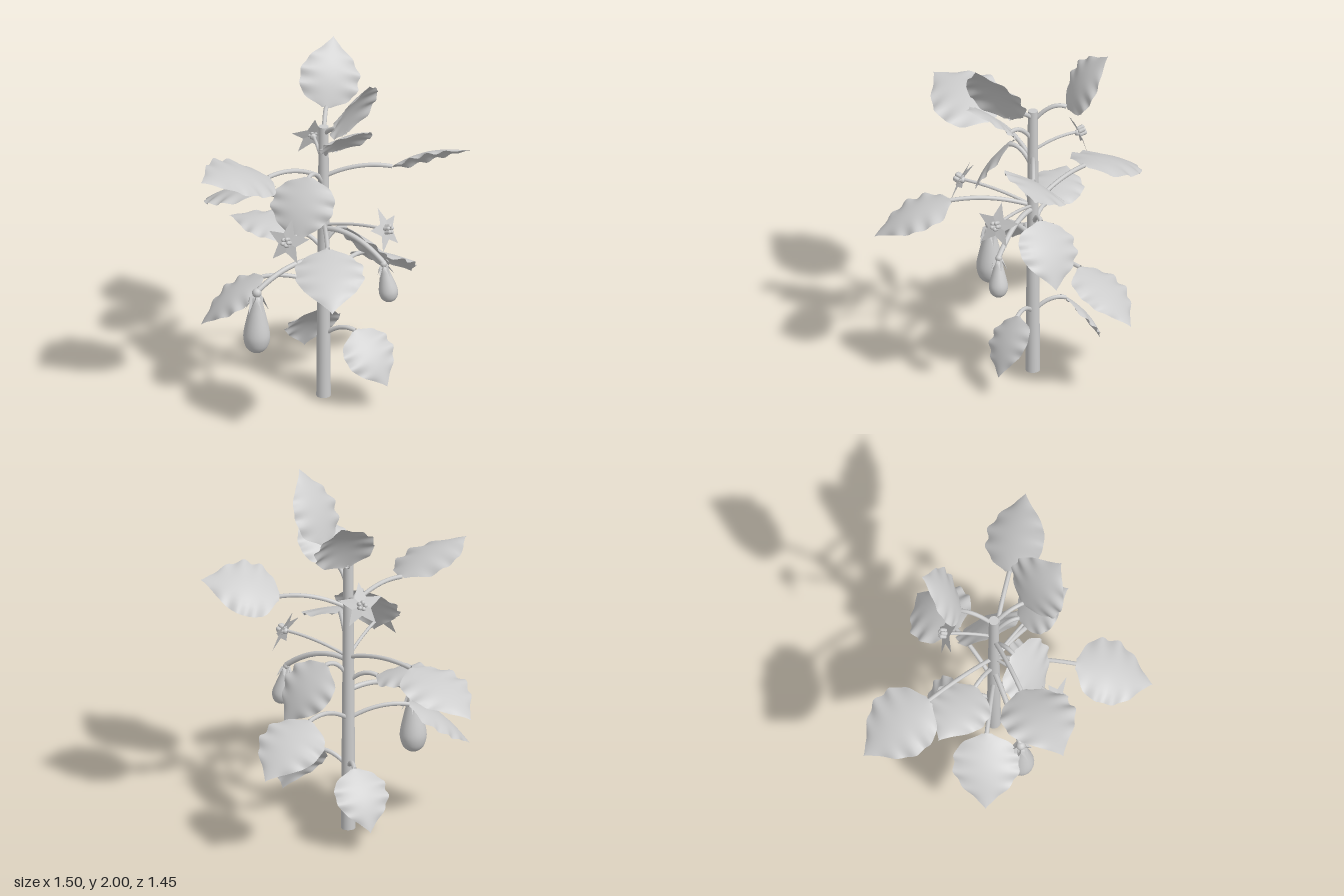
import * as THREE from 'three';

const V = (x, y, z) => new THREE.Vector3(x, y, z);
const STEM_X = -0.06, STEM_Z = -0.148;

// Relative half width of a leaf at even steps from base to tip
const LEAF_OUTLINE = new THREE.SplineCurve(
  [0.15, 0.74, 0.93, 1, 0.97, 0.84, 0.58, 0.26, 0].map((w, i) => new THREE.Vector2(i / 8, w)));

export function createModel() {
  const plant = new THREE.Group();
  plant.name = 'fruitingPlant';
  const grey = new THREE.MeshStandardMaterial({ color: 0xcccccc, side: THREE.DoubleSide });
  grey.name = 'plain grey';

  const add = (parent, name, geometry) => {
    const mesh = new THREE.Mesh(geometry, grey);
    mesh.name = name;
    parent.add(mesh);
    return mesh;
  };
  const group = (name) => {
    const g = new THREE.Group();
    g.name = name;
    plant.add(g);
    return g;
  };

  // Arched stalk from the stem at height y to a point
  const stalk = (parent, name, y, end, radius, lift = 0.03) => {
    const start = V(STEM_X, y, STEM_Z);
    const mid = start.clone().lerp(end, 0.5);
    mid.y = Math.max(y, end.y) + lift;
    const curve = new THREE.QuadraticBezierCurve3(start, mid, end);
    add(parent, name, new THREE.TubeGeometry(curve, 12, radius, 8));
  };

  // Leaf blade: scalloped outline, arched along its length, rippled near the edge
  const leafBlade = (length, width) => {
    const geo = new THREE.PlaneGeometry(2, 1, 12, 40);
    const p = geo.attributes.position;
    for (let i = 0; i < p.count; i++) {
      const v = p.getX(i), u = p.getY(i) + 0.5;
      const outline = LEAF_OUTLINE.getPoint(u).y;
      const ripple = Math.sin(u * Math.PI * 9);
      const edge = Math.abs(v * v * v) * outline;
      const half = 0.42 * width * outline * (1 + 0.04 * ripple * v * v);
      const y = 0.09 * Math.sin(Math.PI * u) - 0.07 * v * v * outline + 0.02 * ripple * edge;
      p.setXYZ(i, v * half * length, y * length, u * length);
    }
    geo.computeVertexNormals();
    return geo;
  };

  const addLeaf = (y, base, tip, roll = 0, width = 1) => {
    const g = group('leaf');
    const b = V(...base), t = V(...tip);
    stalk(g, 'leafStalk', y, b, 0.0125);
    const d = t.clone().sub(b), length = d.length();
    d.normalize();
    const n = V(0, 1, 0).addScaledVector(d, -d.y).normalize().applyAxisAngle(d, roll);
    const side = n.clone().cross(d);
    const blade = add(g, 'leafBlade', leafBlade(length, width));
    blade.quaternion.setFromRotationMatrix(new THREE.Matrix4().makeBasis(side, n, d));
    blade.position.copy(b);
  };

  // Five-pointed star facing +z whose notches and points are pushed back
  const star = (outer, inner, backInner, backOuter) => {
    const geo = new THREE.CircleGeometry(1, 10, Math.PI / 2);
    const p = geo.attributes.position;
    for (let i = 1; i < p.count; i++) {
      const point = i % 2 === 1;
      const r = point ? outer : inner;
      p.setXYZ(i, p.getX(i) * r, p.getY(i) * r, point ? -backOuter : -backInner);
    }
    const flat = geo.toNonIndexed();
    flat.computeVertexNormals();
    return flat;
  };

  const addFlower = (y, x, fy, z) => {
    const g = group('flower');
    const end = V(x, fy, z);
    stalk(g, 'flowerStalk', y, end, 0.009, 0);
    const head = new THREE.Group();
    head.name = 'flowerHead';
    head.position.copy(end);
    const out = V(x - STEM_X, 0, z - STEM_Z).normalize();
    out.y = 0.38;
    head.lookAt(end.clone().add(out));
    g.add(head);
    add(head, 'petals', star(0.13, 0.056, 0.004, 0.012));
    add(head, 'calyx', new THREE.SphereGeometry(0.018, 10, 8)).position.z = -0.012;
    // Ring of stamens
    for (let i = 0; i < 5; i++) {
      const a = i * Math.PI * 0.4;
      const s = add(head, 'stamen', new THREE.CapsuleGeometry(0.012, 0.022, 3, 8));
      s.rotation.x = Math.PI / 2;
      s.position.set(Math.cos(a) * 0.018, Math.sin(a) * 0.018, 0.014);
    }
  };

  // Hanging pear-shaped fruit with a pointed calyx
  const addFruit = (y, x, top, z, length, radius, tilt) => {
    const g = group('fruit');
    stalk(g, 'fruitStalk', y, V(x, top + 0.015, z), 0.015, 0.05);
    const body = new THREE.Group();
    body.name = 'fruitBody';
    body.position.set(x, top, z);
    body.rotation.z = tilt;
    g.add(body);
    const profile = [[0, -1], [0.4, -0.98], [0.8, -0.9], [1, -0.76], [0.97, -0.62],
      [0.77, -0.42], [0.55, -0.22], [0.38, -0.06], [0, 0]];
    const smooth = new THREE.SplineCurve(profile.map(([r, h]) =>
      new THREE.Vector2(r * radius, h * length))).getPoints(24);
    smooth.forEach((q) => { q.x = Math.max(q.x, 0); });
    add(body, 'fruitSkin', new THREE.LatheGeometry(smooth, 20));
    const cap = add(body, 'fruitCalyx', star(radius * 0.92, radius * 0.52, length * 0.06, length * 0.32));
    cap.rotation.x = -Math.PI / 2;
    cap.position.y = 0.012;
    add(body, 'calyxKnob', new THREE.SphereGeometry(radius * 0.36, 12, 8)).position.y = 0.01;
  };

  // Main stem
  const stem = add(plant, 'stem', new THREE.CylinderGeometry(0.027, 0.04, 1.61, 16));
  stem.position.set(STEM_X, 0.805, STEM_Z);

  // Leaves from the bottom up: stalk height, blade base, blade tip, roll, width
  addLeaf(0.36, [0.12, 0.43, -0.07], [0.305, 0.145, 0.03], 0.4);
  addLeaf(0.36, [-0.1, 0.43, -0.325], [-0.195, 0.13, -0.51]);
  addLeaf(0.65, [0.14, 0.75, -0.41], [0.375, 0.51, -0.695], -0.2);
  addLeaf(0.65, [-0.39, 0.72, -0.1], [-0.72, 0.455, -0.02]);
  addLeaf(0.87, [-0.22, 0.94, -0.21], [-0.59, 0.98, -0.32]);
  addLeaf(0.9, [0.06, 0.99, -0.195], [0.285, 0.68, -0.285], -0.3, 1.12);
  addLeaf(1.02, [-0.41, 1.08, -0.42], [-0.75, 0.9, -0.7]);
  addLeaf(1.02, [0, 1.08, 0.3], [0.06, 0.88, 0.715], 0, 0.96);
  addLeaf(1.25, [-0.13, 1.36, -0.02], [-0.19, 1.04, 0.17], 0, 1.15);
  addLeaf(1.3, [-0.34, 1.4, 0.08], [-0.685, 1.5, 0.41], -0.2);
  addLeaf(1.31, [0.315, 1.38, -0.16], [0.745, 1.48, -0.18], -0.5);
  addLeaf(1.42, [0.02, 1.52, -0.03], [0.18, 1.74, 0.21]);
  addLeaf(1.54, [-0.06, 1.64, -0.33], [-0.04, 1.965, -0.56], 0.4);
  addLeaf(1.56, [0.07, 1.63, -0.02], [0.22, 2.0, 0.16], 0.3);

  // Flowers: stalk height, then centre
  addFlower(1.02, -0.225, 1.09, 0.25);
  addFlower(1.02, 0.3, 1.09, 0.04);
  addFlower(1.36, -0.14, 1.44, -0.4);

  // Fruits
  addFruit(0.82, -0.405, 0.7, 0.095, 0.345, 0.073, 0);
  addFruit(1.0, 0.285, 0.87, 0.03, 0.215, 0.052, 0.16);

  return plant;
}
